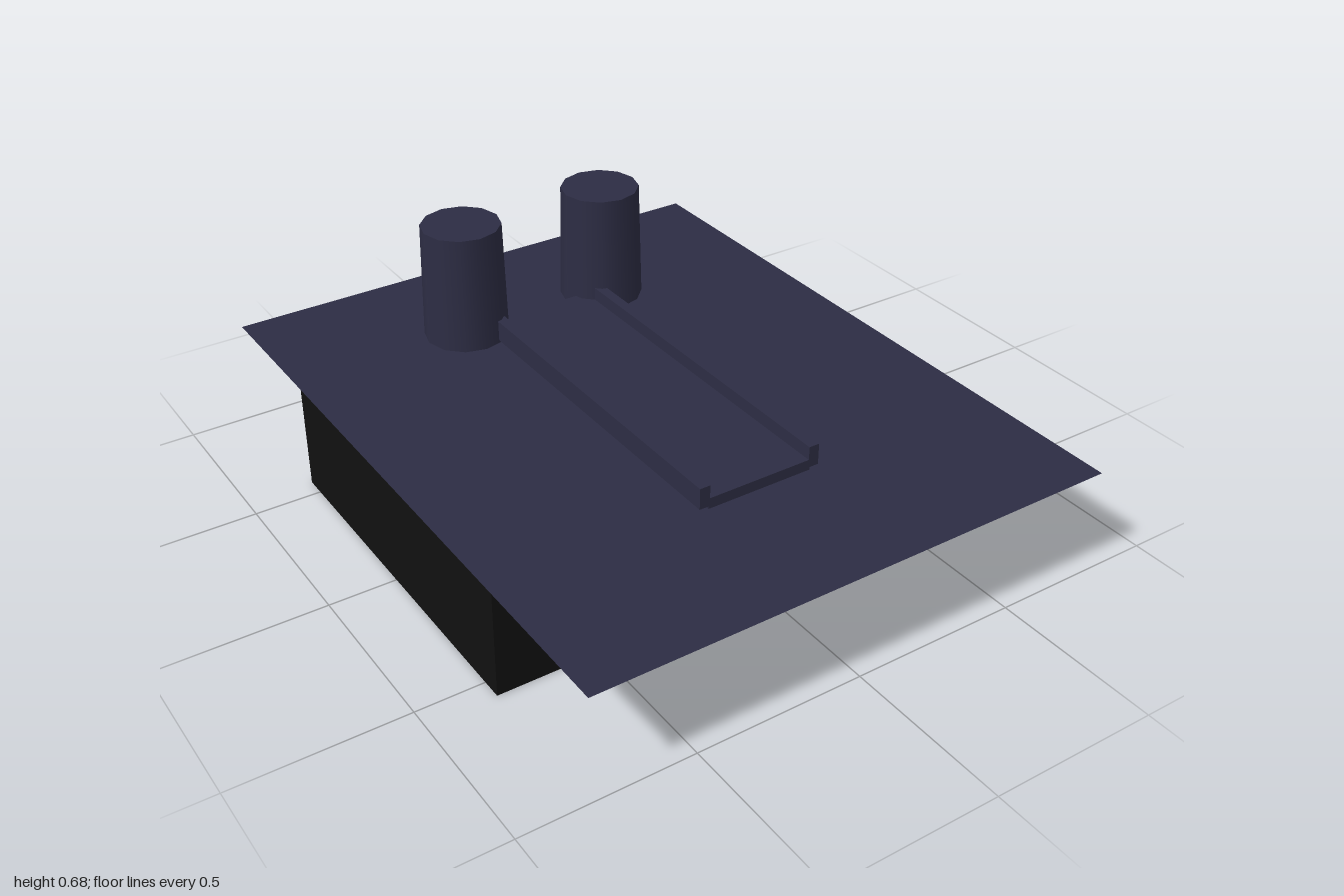
import * as THREE from 'three';

export function createModel() {
  const model = new THREE.Group();
  const slate = new THREE.MeshStandardMaterial({ color: 0x2d2d44, side: THREE.DoubleSide });
  slate.name = 'slate';
  const black = new THREE.MeshStandardMaterial({ color: 0x111111 });
  black.name = 'black';

  const add = (name, geometry, material, x, y, z) => {
    const mesh = new THREE.Mesh(geometry, material);
    mesh.name = name;
    mesh.position.set(x, y, z);
    model.add(mesh);
    return mesh;
  };

  // Thin ground sheet resting on the two side blocks
  const sheet = new THREE.PlaneGeometry(1.6, 2).rotateX(-Math.PI / 2);
  add('groundSheet', sheet, slate, 0, 0.32, 0);

  // Raised walkway
  add('walkway', new THREE.BoxGeometry(0.328, 0.032, 1.12), slate, 0, 0.336, 0);

  // Mirrored pairs: block underneath, walkway rail, tapered tower
  for (const [side, s] of [['left', 1], ['right', -1]]) {
    add(side + 'Block', new THREE.BoxGeometry(0.48, 0.319, 1.12), black, s * 0.56, 0.1595, 0);
    add(side + 'Rail', new THREE.BoxGeometry(0.032, 0.064, 1.12), slate, s * 0.176, 0.36, 0);
    add(side + 'Tower', new THREE.CylinderGeometry(0.12, 0.128, 0.36, 12), slate, s * 0.24, 0.5, -0.6);
  }
  return model;
}
